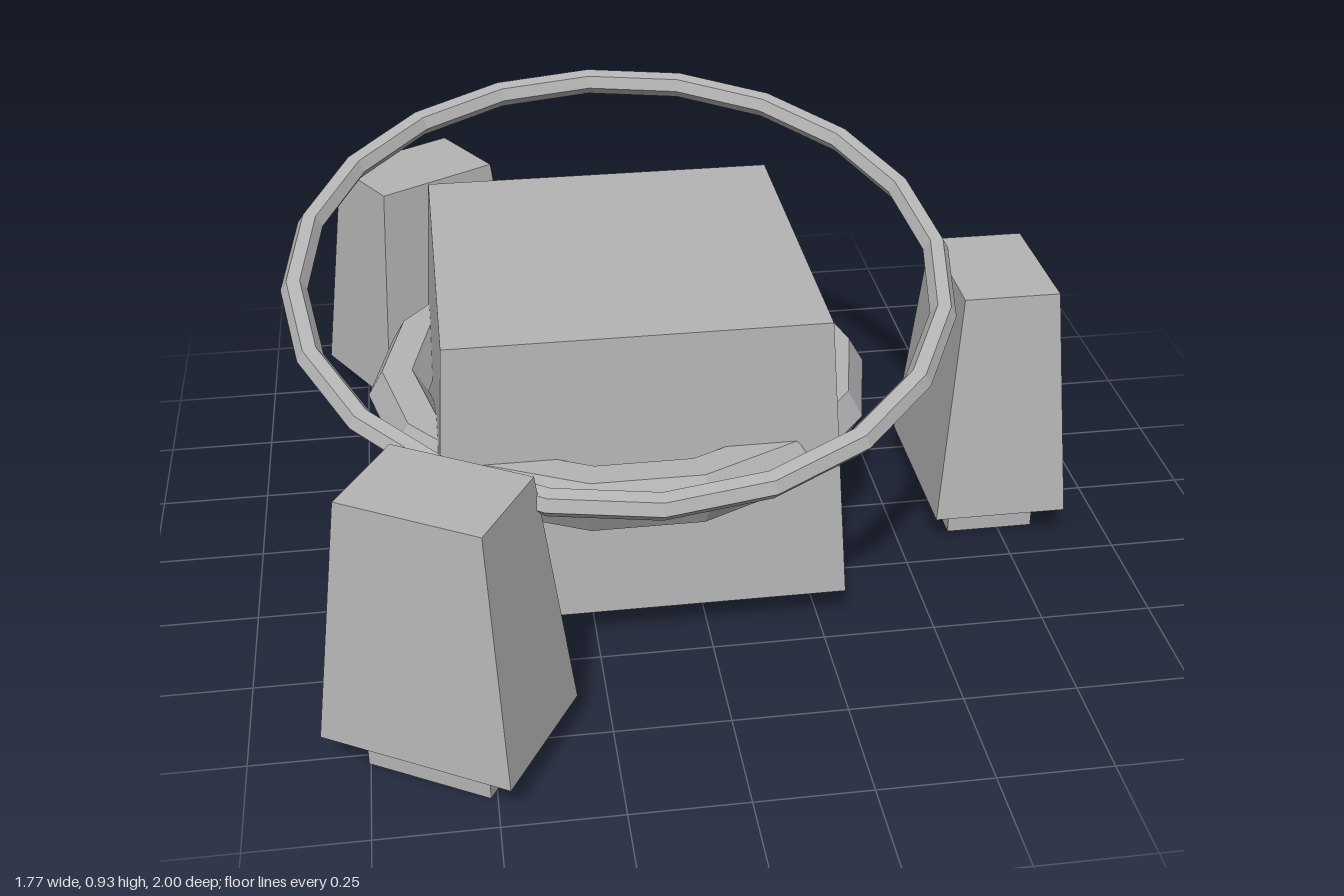
import * as THREE from 'three';

const CENTRE_X = -0.145;

// Box whose top is scaled in, standing on y = 0
function taperedBox(width, height, depth, topWidth, topDepth) {
  const geometry = new THREE.BoxGeometry(width, height, depth);
  geometry.translate(0, height / 2, 0);
  const p = geometry.attributes.position;
  for (let i = 0; i < p.count; i++) {
    if (p.getY(i) > height / 2) {
      p.setX(i, Math.sign(p.getX(i)) * topWidth / 2);
      p.setZ(i, Math.sign(p.getZ(i)) * topDepth / 2);
    }
  }
  geometry.computeVertexNormals();
  return geometry;
}

// Faceted horizontal ring with a six-sided tube
function ring(radius, tube, segments) {
  return new THREE.TorusGeometry(radius, tube, 6, segments).rotateX(Math.PI / 2);
}

export function createModel() {
  const model = new THREE.Group();
  model.name = 'model';
  const grey = new THREE.MeshStandardMaterial({ color: 0xb4b4b4, flatShading: true });
  grey.name = 'plain grey';

  const add = (parent, name, geometry, x, y, z) => {
    const mesh = new THREE.Mesh(geometry, grey);
    mesh.name = name;
    mesh.position.set(x, y, z);
    parent.add(mesh);
    return mesh;
  };

  // Central body and the band that bulges through its sides
  add(model, 'body', taperedBox(0.9, 0.66, 0.9, 0.815, 0.815), CENTRE_X, 0.085, 0);
  add(model, 'band', ring(0.507, 0.068, 14), CENTRE_X, 0.414, 0);

  // Thin tilted ring floating around the top
  const halo = add(model, 'tiltedRing', ring(0.71, 0.029, 20), CENTRE_X, 0.735, 0.078);
  halo.rotation.x = 0.241;

  // Three pods evenly spaced around the body, each over a small foot
  const podGeometry = taperedBox(0.31, 0.552, 0.425, 0.22, 0.315);
  const footGeometry = new THREE.BoxGeometry(0.205, 0.073, 0.277);
  for (let i = 0; i < 3; i++) {
    const leg = new THREE.Group();
    leg.name = 'leg' + (i + 1);
    leg.position.x = CENTRE_X;
    leg.rotation.y = (i * Math.PI * 2) / 3;
    add(leg, 'pod', podGeometry, 0.875, 0.088, 0);
    add(leg, 'foot', footGeometry, 0.875, 0.0365, 0);
    model.add(leg);
  }

  return model;
}
